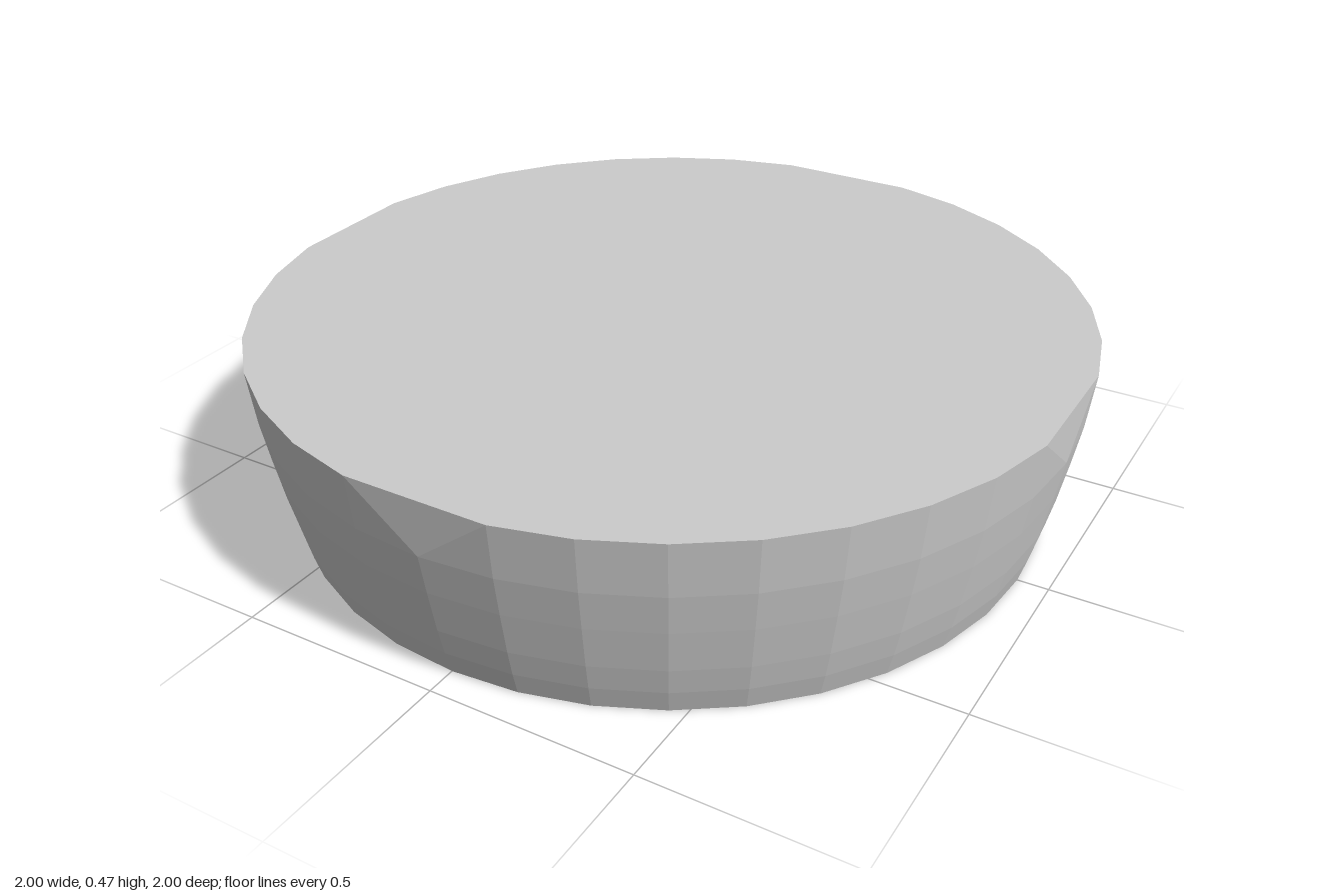
import * as THREE from 'three';
import { ConvexGeometry } from 'three/addons/geometries/ConvexGeometry.js';

export function createModel() {
  const group = new THREE.Group();
  const points = [];

  // Rings of the flaring bowl wall: [height, radius], flattened at the four sides
  const profile = [[0, 0.925], [0.06, 0.943], [0.13, 0.96], [0.24, 0.982], [0.34, 1], [0.475, 1.016]];
  const sides = 36;
  const clip = (v) => THREE.MathUtils.clamp(v, -1, 1);
  for (const [y, r] of profile) {
    for (let i = 0; i < sides; i++) {
      const a = (i / sides) * Math.PI * 2;
      points.push(new THREE.Vector3(clip(r * Math.sin(a)), y, clip(r * Math.cos(a))));
    }
  }

  // Bulging corner at the back left, with a rounded lower and upper edge
  const corner = [[0.15, 0.06], [0.41, 0.105], [0.45, 0.125], [0.46, 0.16], [0.46, 0.34], [0.45, 0.365]];
  for (const [x, y] of corner) points.push(new THREE.Vector3(x, y, -1));

  const body = new THREE.Mesh(
    new ConvexGeometry(points),
    new THREE.MeshStandardMaterial({ color: 0xcccccc, flatShading: true })
  );
  body.name = 'discBody';
  group.add(body);
  return group;
}
